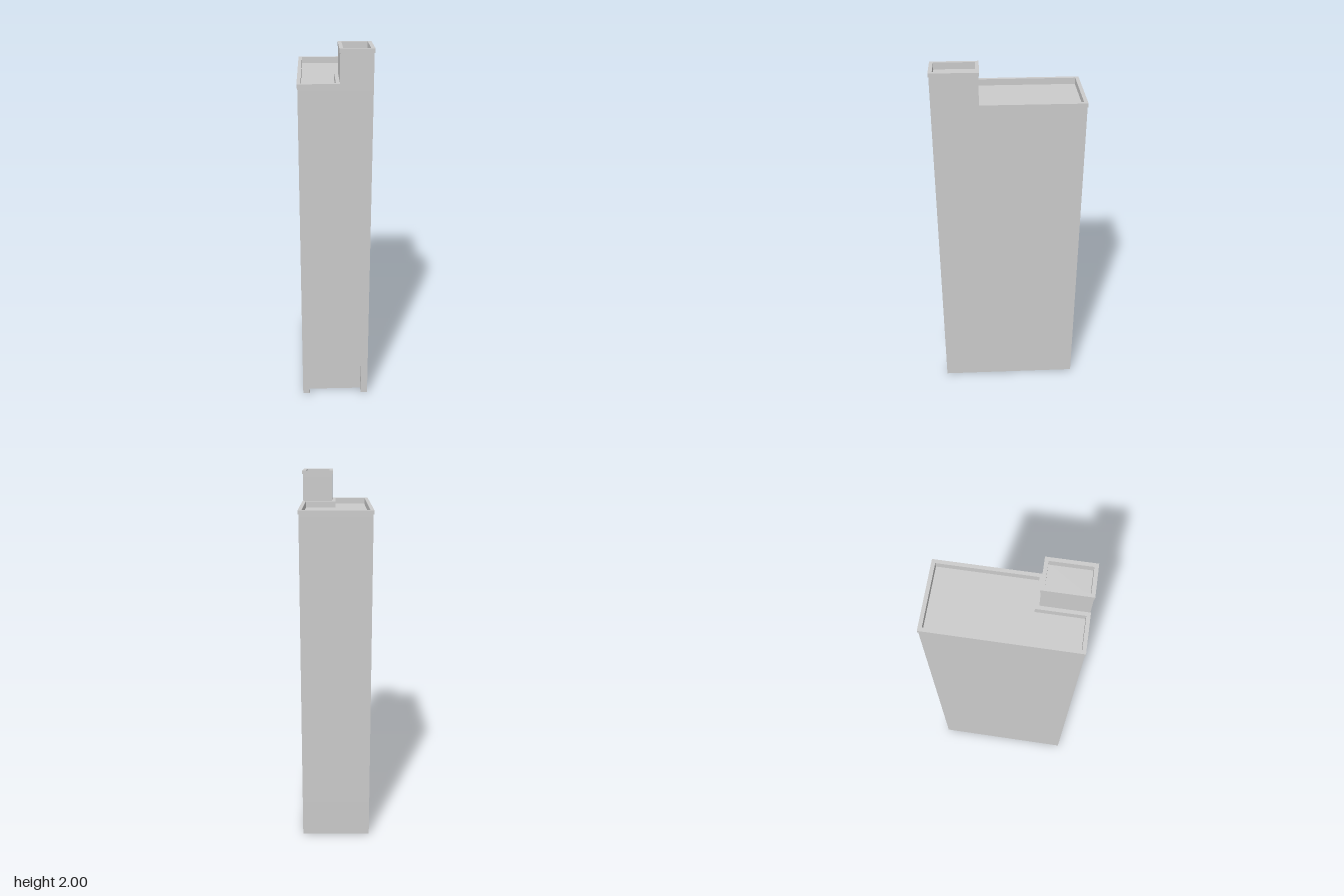
import * as THREE from 'three';

const material = new THREE.MeshStandardMaterial({ color: 0xcccccc });

// Plan outlines are lists of [x, z] corners, clockwise seen from above
const rect = (x0, x1, z0, z1) => [[x0, z0], [x1, z0], [x1, z1], [x0, z1]];
const toPoints = (plan) => plan.map(([x, z]) => new THREE.Vector2(x, -z));

// Raises a plan outline, with an optional hole, from height y0 to y1.
// The outline is turned anticlockwise and the hole kept clockwise, so all walls face outward.
function slab(name, plan, hole, y0, y1) {
  const shape = new THREE.Shape(toPoints(plan).reverse());
  if (hole) shape.holes.push(new THREE.Path(toPoints(hole)));
  const geometry = new THREE.ExtrudeGeometry(shape, { depth: y1 - y0, bevelEnabled: false });
  geometry.rotateX(-Math.PI / 2).translate(0, y0, 0);
  const mesh = new THREE.Mesh(geometry, material);
  mesh.name = name;
  return mesh;
}

export function createModel() {
  const W = 0.188, D = 0.395;      // half width and depth of the walls
  const CW = 0.192, CD = 0.398;    // half width and depth of the copings
  const doorTop = 0.183, ceiling = 0.205, roof = 1.795, bulkheadRoof = 1.965;
  const model = new THREE.Group();
  model.name = 'tower';

  // Ground floor: hollow underneath, with a recessed entrance at the front
  const wallPlan = rect(-W, W, -D, D);
  const groundPlan = [
    [-W, -D], [W, -D], [W, D], [0.15, D], [0.15, 0.352],
    [-0.15, 0.352], [-0.15, D], [-W, D],
  ];
  const cavity = rect(-0.17, 0.17, -0.378, 0.344);
  model.add(slab('groundFloor', groundPlan, cavity, 0, doorTop));
  model.add(slab('entranceLintel', wallPlan, cavity, doorTop, ceiling));

  // Main shaft
  model.add(slab('shaft', wallPlan, null, ceiling, roof));

  // Main roof parapet and coping, L-shaped around the bulkhead
  const ell = (x, z, nx, nz) => [[-x, -z], [x, -z], [x, nz], [nx, nz], [nx, z], [-x, z]];
  const roofHole = ell(0.172, 0.378, 0.002, 0.133);
  model.add(slab('roofParapet', ell(W, D, 0.022, 0.152), roofHole, roof, 1.81));
  model.add(slab('roofCoping', ell(CW, CD, 0.022, 0.152), roofHole, 1.81, 1.83));

  // Rooftop bulkhead in the front left corner
  const bulkheadPlan = rect(0.022, W, 0.152, D);
  const bulkheadHole = rect(0.037, 0.172, 0.167, 0.378);
  model.add(slab('bulkhead', bulkheadPlan, null, roof, bulkheadRoof));
  model.add(slab('bulkheadParapet', bulkheadPlan, bulkheadHole, bulkheadRoof, 1.98));
  model.add(slab('bulkheadCoping', rect(0.018, CW, 0.148, CD), bulkheadHole, 1.98, 2));

  return model;
}
